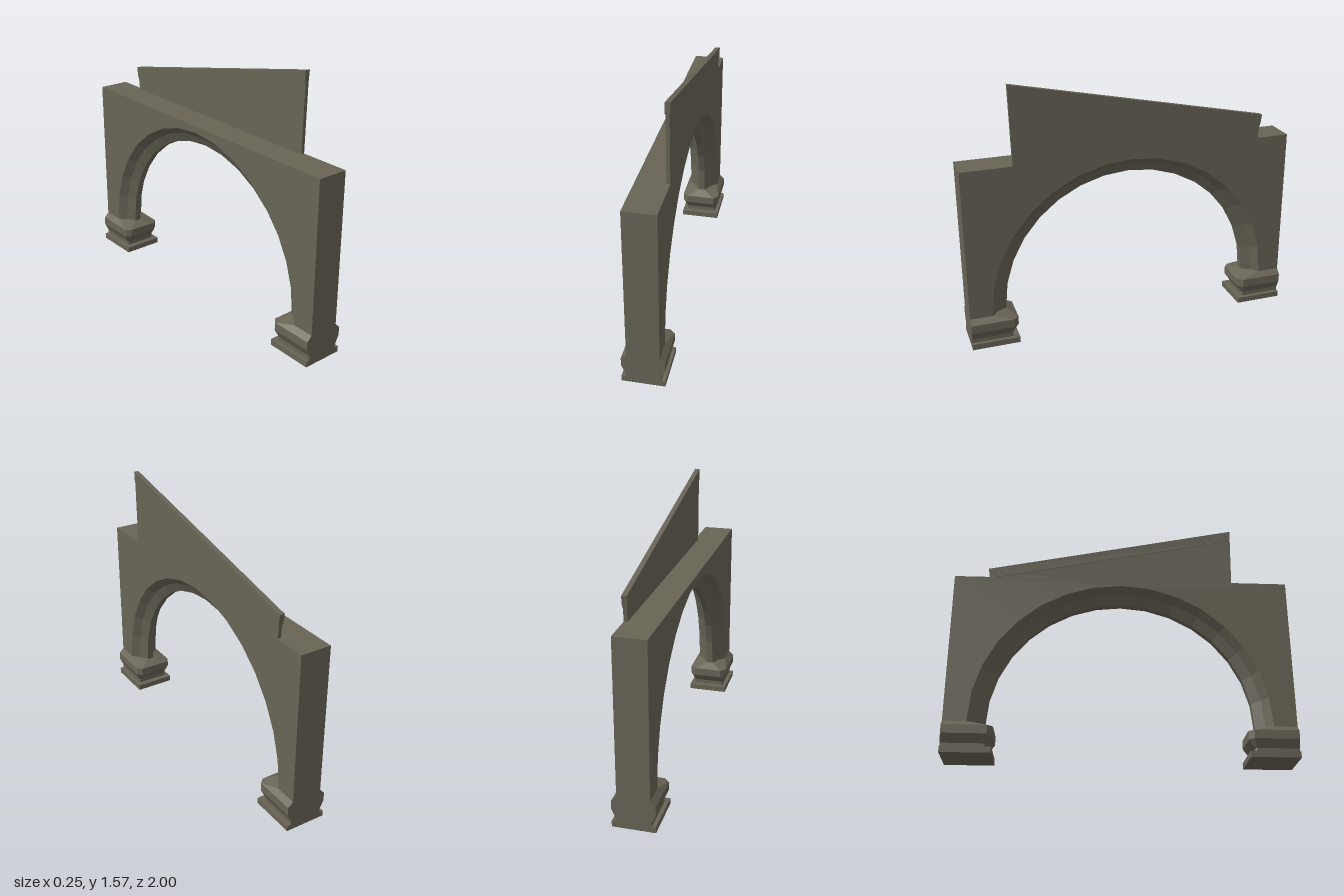
import * as THREE from 'three';

const HALF = 0.093;      // half thickness of the wall
const SPRING = 0.2;      // height of the arch centre
const R = 0.865;         // arch radius on the wall faces
const SEG = 16;

// Skin a list of rings (arrays of [x, y, z]) with flat quads
function loft(rings, closed) {
  const pos = [];
  const tri = (a, b, c) => pos.push(...a, ...b, ...c);
  const n = rings[0].length;
  for (let i = 0; i < rings.length - 1; i++) {
    for (let j = 0; j < (closed ? n : n - 1); j++) {
      const k = (j + 1) % n;
      const a = rings[i][k], b = rings[i][j], c = rings[i + 1][j], d = rings[i + 1][k];
      tri(a, b, c);
      tri(a, c, d);
    }
  }
  if (closed) {
    const bottom = rings[0], top = rings[rings.length - 1];
    for (let j = 1; j < n - 1; j++) {
      tri(bottom[0], bottom[j], bottom[j + 1]);
      tri(top[0], top[j + 1], top[j]);
    }
  }
  const g = new THREE.BufferGeometry();
  g.setAttribute('position', new THREE.Float32BufferAttribute(pos, 3));
  g.computeVertexNormals();
  return g;
}

// Extrude a [z, y] outline across x from x0 to x1
function slab(points, x0, x1) {
  const shape = new THREE.Shape(points.map(([z, y]) => new THREE.Vector2(z, y)));
  const g = new THREE.ExtrudeGeometry(shape, { depth: x1 - x0, bevelEnabled: false });
  g.rotateY(-Math.PI / 2);
  g.translate(x1, 0, 0);
  return g;
}

// Arch line as [z, y] from +z over the crown to -z, with short straight feet
function archLine(r) {
  const pts = [[r, 0.16]];
  for (let i = 0; i <= SEG; i++) {
    const a = (i / SEG) * Math.PI;
    pts.push([r * Math.cos(a), SPRING + r * Math.sin(a)]);
  }
  pts.push([-r, 0.16]);
  return pts;
}

export function createModel() {
  const model = new THREE.Group();
  model.name = 'archway';
  const stone = new THREE.MeshStandardMaterial({ color: 0x686456, flatShading: true });
  stone.name = 'stone';

  const add = (name, geometry) => {
    const mesh = new THREE.Mesh(geometry, stone);
    mesh.name = name;
    model.add(mesh);
    return mesh;
  };

  // Wall with the arched opening
  add('wall', slab([[1, 0.16], [1, 1.105], [-1, 1.105], [-1, 0.16], ...archLine(R).reverse()], -HALF, HALF));

  // Moulded lining of the arch: [x, radius] profile swept along the opening
  const profile = [[-HALF, R], [-0.05, 0.825], [-0.02, 0.77], [0.02, 0.77], [0.05, 0.825], [HALF, R]];
  const lines = profile.map(([, r]) => archLine(r));
  const rings = lines[0].map((_, i) => profile.map(([x], j) => [x, lines[j][i][1], lines[j][i][0]]));
  add('archMoulding', loft(rings, false));

  // Sloping parapet flush with one face, and its slightly thicker edge band
  add('parapet', slab([[0.70, 1.1], [0.71, 1.56], [-0.815, 1.24], [-0.80, 1.1]], 0.072, HALF));
  add('parapetEdge', slab([[0.705, 1.5], [0.71, 1.57], [-0.82, 1.25], [-0.81, 1.185]], 0.068, 0.097));

  // Pedestals: section at height y, half width hx, inner face zi, corner cut c
  const ring = (y, hx, zi, c) => [
    [hx, y, 1], [-hx, y, 1], [-hx, y, zi + c], [-hx + c, y, zi], [hx - c, y, zi], [hx, y, zi + c],
  ];
  const plinth = loft([ring(0, 0.123, 0.715, 0.002), ring(0.035, 0.123, 0.715, 0.002)], true);
  const foot = loft([
    ring(0.034, 0.1, 0.75, 0.004),
    ring(0.06, 0.1, 0.75, 0.01),
    ring(0.11, 0.123, 0.715, 0.03),
    ring(0.16, 0.123, 0.715, 0.03),
    // top tapers to the leg's section
    [[HALF, 0.19, 1], [-HALF, 0.19, 1], [-HALF, 0.19, R], [-0.02, 0.19, 0.77], [0.02, 0.19, 0.77], [HALF, 0.19, R]],
  ], true);
  for (const [side, turn] of [['front', 0], ['back', Math.PI]]) {
    add(side + 'Plinth', plinth).rotation.y = turn;
    add(side + 'Pedestal', foot).rotation.y = turn;
  }

  return model;
}
